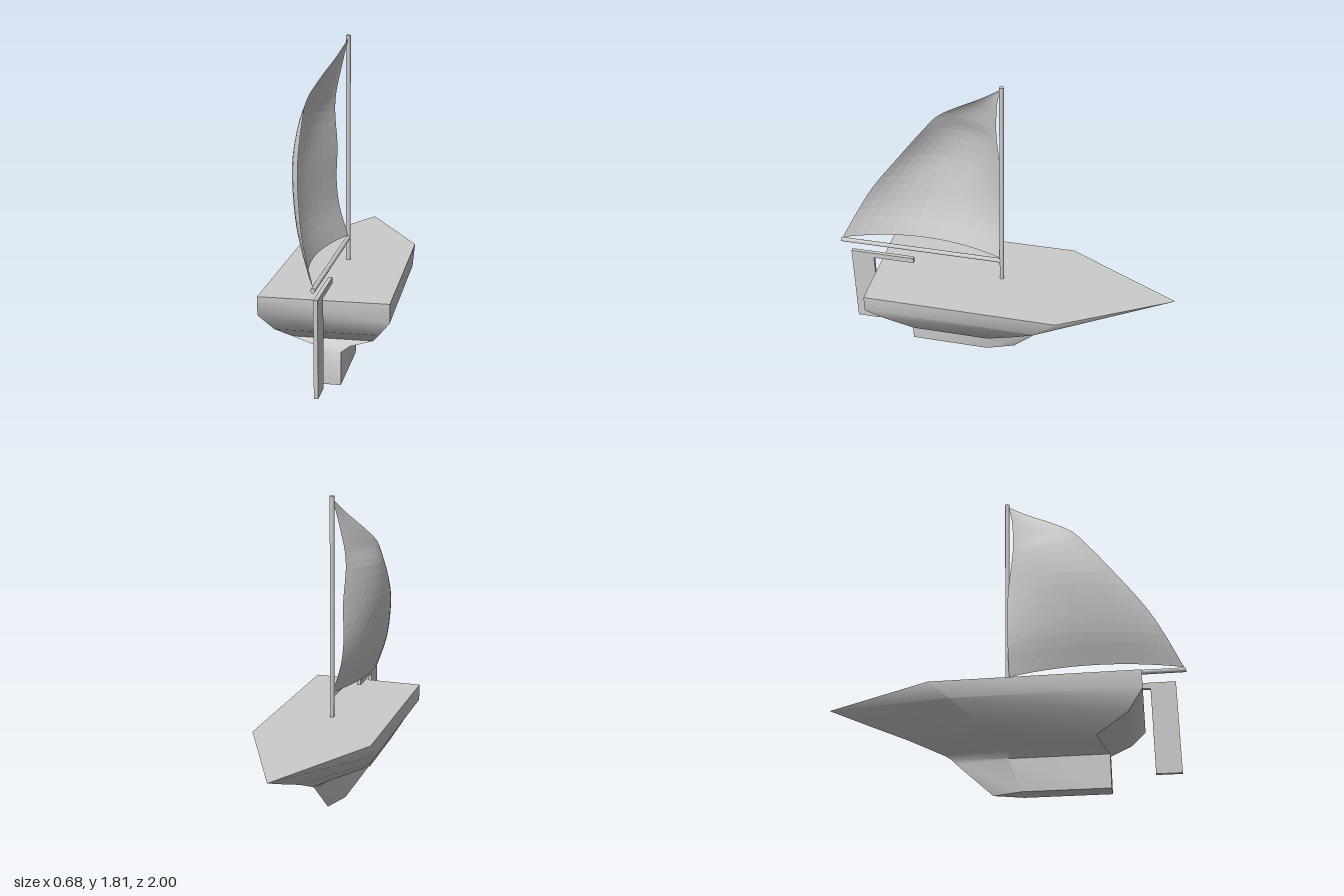
import * as THREE from 'three';
import { toCreasedNormals } from 'three/addons/utils/BufferGeometryUtils.js';

const grey = (opts = {}) => new THREE.MeshStandardMaterial({ color: 0xcccccc, ...opts });

function part(name, geometry, material = grey()) {
  const mesh = new THREE.Mesh(geometry, material);
  mesh.name = name;
  return mesh;
}

// Hull and keel: pointed horizontal outlines stacked from deck to keel foot
function hullGeometry() {
  // [y, half width, stern z, shoulder z, bow z]
  const levels = [
    [0.535, 0.342, 0.76, -0.36, -1],
    [0.435, 0.342, 0.76, -0.24, -0.77],
    [0.335, 0.275, 0.68, -0.12, -0.535],
    [0.237, 0.22, 0.51, 0.06, -0.33],
    [0.212, 0.1, 0.545, 0.04, -0.29],
    [0.185, 0.057, 0.57, 0.03, -0.265],
    [0, 0.057, 0.57, 0.1, -0.06],
  ];
  const n = 5;
  const positions = [];
  const index = [];
  for (const [y, w, stern, shoulder, bow] of levels) {
    positions.push(w, y, stern, w, y, shoulder, 0, y, bow, -w, y, shoulder, -w, y, stern);
  }
  for (let i = 0; i < levels.length - 1; i++) {
    for (let j = 0; j < n; j++) {
      const a = i * n + j;
      const b = i * n + ((j + 1) % n);
      // mirror the diagonal on the port and starboard halves
      if (j < 2) index.push(a, a + n, b, b, a + n, b + n);
      else index.push(a, a + n, b + n, a, b + n, b);
    }
  }
  // Deck and keel foot
  const last = (levels.length - 1) * n;
  for (let j = 1; j < n - 1; j++) {
    index.push(0, j, j + 1);
    index.push(last, last + j + 1, last + j);
  }
  const geometry = new THREE.BufferGeometry();
  geometry.setAttribute('position', new THREE.Float32BufferAttribute(positions, 3));
  geometry.setIndex(index);
  return toCreasedNormals(geometry, 0.95);
}

// Sail: rows from luff to leech, each bellied out to one side
function sailGeometry() {
  // [y, luff x, luff z, leech x, leech z, belly]
  const rows = [
    [0.68, 0, 0.025, 0, 0.99, 0.1],
    [0.85, -0.05, 0.025, -0.065, 0.9, 0.107],
    [1.0, -0.066, 0.025, -0.105, 0.81, 0.112],
    [1.2, -0.06, 0.03, -0.147, 0.655, 0.113],
    [1.4, -0.068, 0.055, -0.155, 0.5, 0.078],
    [1.5, -0.06, 0.06, -0.15, 0.415, 0.04],
    [1.6, -0.04, 0.055, -0.105, 0.285, 0.025],
    [1.7, -0.018, 0.045, -0.045, 0.145, 0.01],
    [1.79, 0, 0.025, 0, 0.03, 0],
  ];
  const curve = (f) => new THREE.CatmullRomCurve3(rows.map((r) => new THREE.Vector3(...f(r))));
  const luff = curve((r) => [r[1], r[0], r[2]]);
  const leech = curve((r) => [r[3], r[0], r[4]]);
  const belly = curve((r) => [r[5], r[0], 0]);

  const geometry = new THREE.PlaneGeometry(1, 1, 14, 24);
  const pos = geometry.attributes.position;
  for (let i = 0; i < pos.count; i++) {
    const u = pos.getX(i) + 0.5;
    const v = pos.getY(i) + 0.5;
    const p = luff.getPoint(v).lerp(leech.getPoint(v), u);
    p.x -= belly.getPoint(v).x * 4 * u * (1 - u);
    pos.setXYZ(i, p.x, p.y, p.z);
  }
  geometry.computeVertexNormals();
  return geometry;
}

// Rudder blade and tiller as one L-shaped board, drawn in z and y
function rudderGeometry() {
  const outline = [[0.94, 0.08], [0.94, 0.595], [0.555, 0.595], [0.555, 0.562], [0.802, 0.562], [0.802, 0.08]];
  const shape = new THREE.Shape(outline.map(([z, y]) => new THREE.Vector2(-z, y)));
  const geometry = new THREE.ExtrudeGeometry(shape, { depth: 0.022, bevelEnabled: false });
  geometry.translate(0, 0, -0.011);
  geometry.rotateY(Math.PI / 2);
  return geometry;
}

export function createModel() {
  const boat = new THREE.Group();
  boat.name = 'sailboat';

  boat.add(part('hull', hullGeometry()));
  boat.add(part('rudder', rudderGeometry()));

  const mast = part('mast', new THREE.CylinderGeometry(0.013, 0.013, 1.28, 16));
  mast.position.set(0, 1.17, 0.017);
  boat.add(mast);

  const boom = part('boom', new THREE.CylinderGeometry(0.013, 0.013, 0.98, 16));
  boom.rotation.x = Math.PI / 2;
  boom.position.set(0, 0.664, 0.51);
  boat.add(boom);

  boat.add(part('sail', sailGeometry(), grey({ side: THREE.DoubleSide, flatShading: true })));
  return boat;
}
